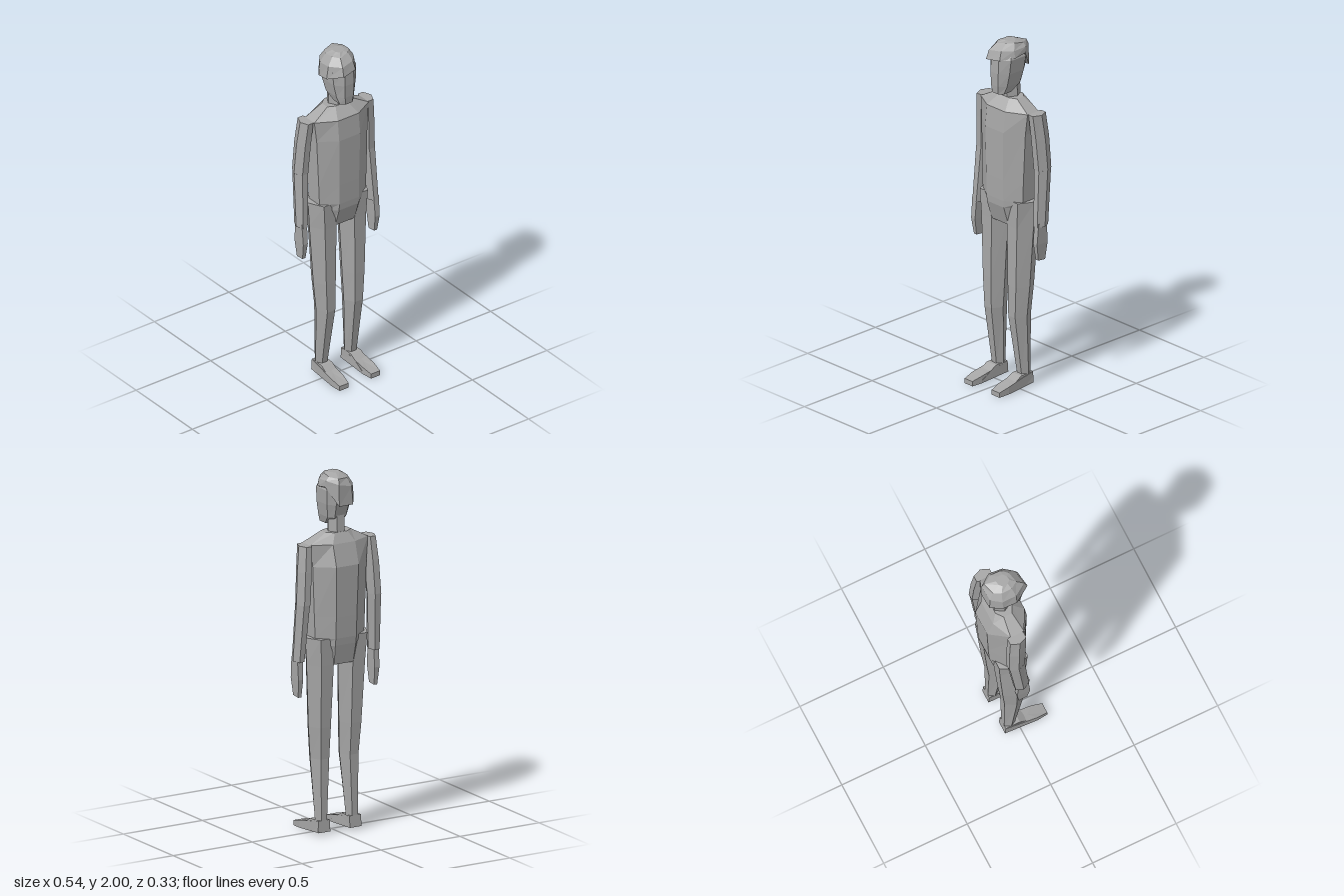
import * as THREE from 'three';

// Skin a closed, capped solid over rings of [x, y, z] points, bottom to top
// (each ring runs front -> +x -> back -> -x).
function loft(rings) {
  const pos = [];
  const tri = (a, b, c) => pos.push(...a, ...b, ...c);
  const n = rings[0].length;
  const centre = (r) => [0, 1, 2].map((k) => r.reduce((s, p) => s + p[k], 0) / n);
  const low = rings[0], high = rings[rings.length - 1];
  const cLow = centre(low), cHigh = centre(high);
  for (let i = 0; i < n; i++) {
    const j = (i + 1) % n;
    for (let k = 0; k + 1 < rings.length; k++) {
      const a = rings[k], b = rings[k + 1];
      tri(a[i], a[j], b[j]);
      tri(a[i], b[j], b[i]);
    }
    tri(cLow, low[j], low[i]);
    tri(cHigh, high[i], high[j]);
  }
  const geo = new THREE.BufferGeometry();
  geo.setAttribute('position', new THREE.Float32BufferAttribute(pos, 3));
  geo.computeVertexNormals();
  return geo;
}

// Six-sided limb section
function hex([y, x0, x1, zBack, zFront]) {
  const i = (x1 - x0) * 0.27, zm = (zBack + zFront) / 2;
  return [[x0 + i, y, zFront], [x1 - i, y, zFront], [x1, y, zm],
    [x1 - i, y, zBack], [x0 + i, y, zBack], [x0, y, zm]];
}

// Four-sided section; y may differ between back and front
function quad(x0, x1, zBack, zFront, yBack, yFront) {
  return [[x0, yFront, zFront], [x1, yFront, zFront], [x1, yBack, zBack], [x0, yBack, zBack]];
}

// Symmetric eight-sided section: flat front and back, angled corners, flat sides
function oct([y, wf, zf, ws, zs, zt, wb, zb]) {
  return [[-wf, y, zf], [wf, y, zf], [ws, y, zs], [ws, y, zt],
    [wb, y, zb], [-wb, y, zb], [-ws, y, zt], [-ws, y, zs]];
}

const mirror = (rings) => rings.map((r) => r.map(([x, y, z]) => [-x, y, z]).reverse());

export function createModel() {
  const model = new THREE.Group();
  model.name = 'figure';
  const grey = new THREE.MeshStandardMaterial({ color: 0xa6a6a6 });
  grey.name = 'plain grey';

  const add = (name, rings) => {
    const mesh = new THREE.Mesh(loft(rings), grey);
    mesh.name = name;
    model.add(mesh);
  };
  const pair = (name, rings) => {
    add(name + 'Left', rings);
    add(name + 'Right', mirror(rings));
  };

  // Torso: hips, waist, chest, shoulders
  add('torso', [
    [0.95, 0.065, 0.03, 0.075, 0.01, -0.09, 0.06, -0.125],
    [1.06, 0.065, 0.065, 0.115, 0.02, -0.1, 0.065, -0.145],
    [1.1, 0.065, 0.068, 0.155, 0.01, -0.085, 0.065, -0.15],
    [1.22, 0.065, 0.07, 0.16, 0.01, -0.085, 0.065, -0.155],
    [1.5, 0.07, 0.073, 0.17, 0.005, -0.085, 0.07, -0.165],
    [1.62, 0.07, 0.06, 0.182, 0, -0.08, 0.07, -0.13],
    [1.675, 0.04, 0.0, 0.08, -0.02, -0.07, 0.04, -0.1],
  ].map(oct));

  // Legs: ankle, knee, thigh, hip
  pair('leg', [
    [0.07, 0.06, 0.135, -0.085, -0.02],
    [0.42, 0.035, 0.15, -0.085, 0.032],
    [0.6, 0.028, 0.165, -0.1, 0.035],
    [0.95, 0.015, 0.183, -0.122, 0.036],
    [1.1, 0.03, 0.19, -0.13, 0.04],
  ].map(hex));

  // Feet: sloping wedge from heel to toe
  pair('foot', [
    [[0.075, 0, 0.163], [0.135, 0, 0.163], [0.142, 0.003, 0.1],
      [0.135, 0.015, -0.09], [0.062, 0.015, -0.09], [0.065, 0.003, 0.1]],
    [[0.075, 0.028, 0.163], [0.135, 0.028, 0.163], [0.142, 0.045, 0.1],
      [0.135, 0.08, -0.085], [0.062, 0.08, -0.085], [0.065, 0.045, 0.1]],
  ].map((r) => [r[0], r[1], r[2], r[3], r[4], r[5]]));
  pair('instep', [
    quad(0.062, 0.137, -0.085, 0.1, 0.02, 0.02),
    quad(0.064, 0.133, -0.085, -0.0, 0.08, 0.078),
  ]);

  // Arms: wrist, elbow, shoulder
  pair('forearm', [
    [0.98, 0.205, 0.27, -0.085, -0.005],
    [1.3, 0.185, 0.265, -0.115, -0.025],
  ].map(hex));
  pair('upperArm', [
    [1.3, 0.182, 0.265, -0.118, -0.025],
    [1.48, 0.172, 0.254, -0.112, -0.015],
    [1.62, 0.165, 0.238, -0.1, -0.005],
  ].map(hex));

  // Hands: thin tapering paddles
  pair('hand', [
    quad(0.23, 0.25, -0.065, -0.015, 0.78, 0.785),
    quad(0.226, 0.256, -0.078, 0.0, 0.88, 0.88),
    quad(0.224, 0.258, -0.07, -0.01, 1.0, 1.0),
  ]);

  // Neck
  add('neck', [
    [1.64, -0.052, 0.052, -0.1, 0],
    [1.78, -0.05, 0.05, -0.095, 0],
  ].map(hex));

  // Head: chin, jaw, cheeks, brow, crown
  add('head', [
    [1.71, 0.022, 0.066, 0.045, 0.045, -0.01, 0.03, -0.03],
    [1.755, 0.028, 0.07, 0.06, 0.035, -0.06, 0.035, -0.092],
    [1.83, 0.03, 0.072, 0.074, 0.03, -0.075, 0.04, -0.115],
    [1.91, 0.03, 0.068, 0.08, 0.025, -0.085, 0.04, -0.13],
    [1.96, 0.025, 0.04, 0.06, 0.01, -0.08, 0.035, -0.11],
  ].map(oct));

  // Hair: uneven swept cap with a low back and a raised left side
  add('hair', [
    [[-0.05, 1.9, 0.087], [0.04, 1.91, 0.072], [0.087, 1.92, 0.0], [0.086, 1.93, -0.075],
      [0.04, 1.83, -0.145], [-0.05, 1.83, -0.14], [-0.092, 1.85, -0.08], [-0.1, 1.865, 0.0]],
    [[-0.045, 1.95, 0.07], [0.035, 1.96, 0.055], [0.078, 1.96, 0.0], [0.084, 1.965, -0.08],
      [0.04, 1.95, -0.143], [-0.045, 1.93, -0.135], [-0.085, 1.93, -0.08], [-0.088, 1.94, 0.0]],
    [[-0.03, 1.985, 0.03], [0.03, 1.995, 0.015], [0.06, 1.995, -0.02], [0.066, 1.985, -0.08],
      [0.035, 1.98, -0.13], [-0.03, 1.975, -0.11], [-0.055, 1.98, -0.07], [-0.055, 1.985, -0.01]],
    [[-0.01, 2, 0.0], [0.015, 2, -0.005], [0.035, 2, -0.02], [0.035, 2, -0.05],
      [0.015, 2, -0.07], [-0.01, 2, -0.065], [-0.025, 2, -0.05], [-0.025, 2, -0.02]],
  ]);

  return model;
}
